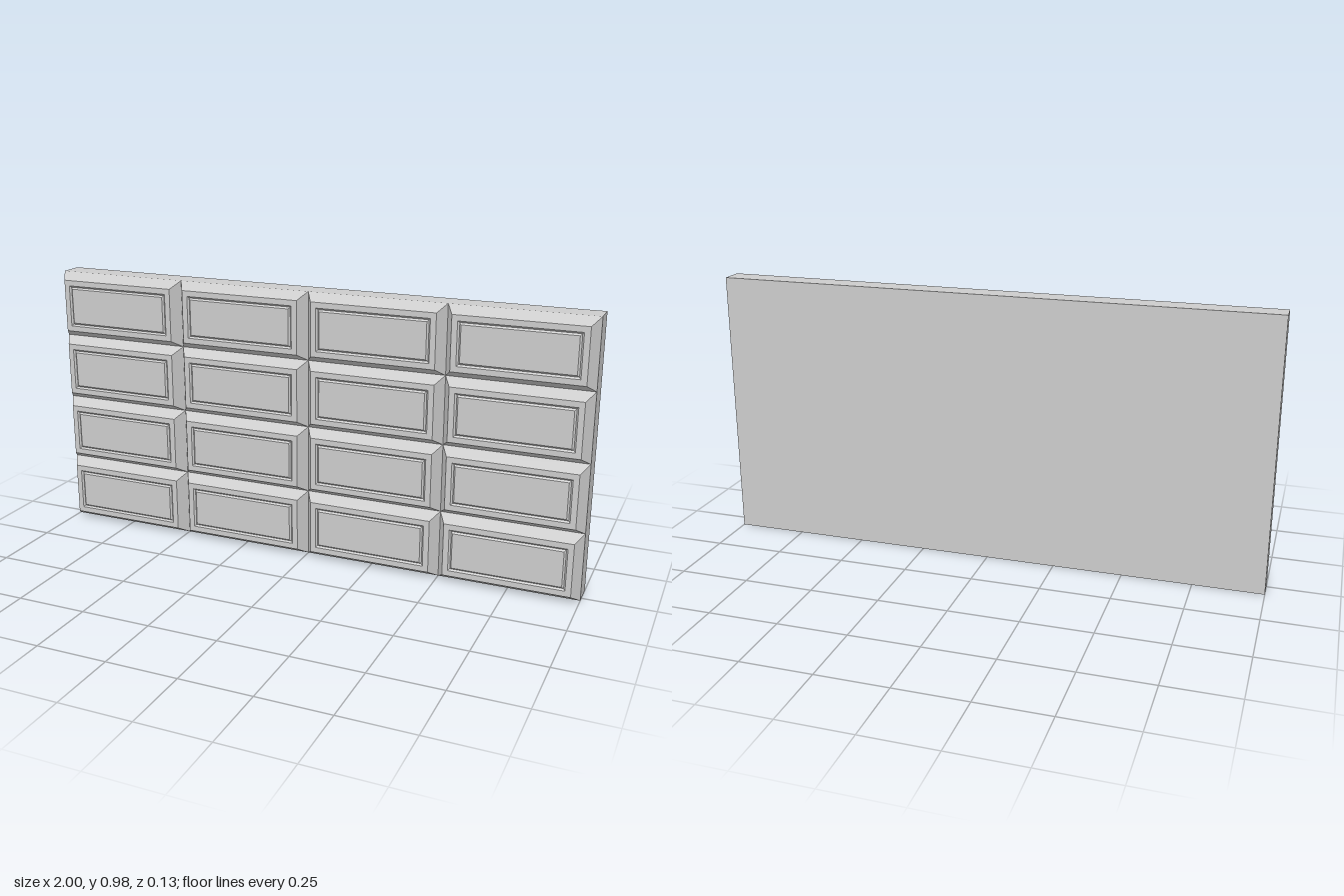
import * as THREE from 'three';

const W = 2, H = 0.98, COLS = 4, ROWS = 4;
const BACK = -0.063, SEAM = 0.02, FACE = 0.063;

// Loft of nested rectangles: each ring is [inset from tile edge, z]; the last ring is capped
function tileGeometry(w, h, rings) {
  const pos = [], index = [];
  for (const [inset, z] of rings) {
    const x = w / 2 - inset, y = h / 2 - inset;
    pos.push(-x, -y, z, x, -y, z, x, y, z, -x, y, z);
  }
  for (let r = 0; r < rings.length - 1; r++) {
    for (let i = 0; i < 4; i++) {
      const a = r * 4 + i, b = r * 4 + (i + 1) % 4;
      index.push(a, b, b + 4, a, b + 4, a + 4);
    }
  }
  const c = (rings.length - 1) * 4;
  index.push(c, c + 1, c + 2, c, c + 2, c + 3);
  const indexed = new THREE.BufferGeometry();
  indexed.setAttribute('position', new THREE.Float32BufferAttribute(pos, 3));
  indexed.setIndex(index);
  const geometry = indexed.toNonIndexed();
  geometry.computeVertexNormals();
  return geometry;
}

export function createModel() {
  const bar = new THREE.Group();
  bar.name = 'segmentedBar';
  const material = new THREE.MeshStandardMaterial({ color: 0xcccccc, flatShading: true });

  // Solid slab behind the tiles
  const slab = new THREE.Mesh(new THREE.BoxGeometry(W, H, SEAM - BACK), material);
  slab.name = 'slab';
  slab.position.set(0, H / 2, (SEAM + BACK) / 2);
  bar.add(slab);

  // Bevelled tiles, each with a shallow engraved frame line
  const w = W / COLS, h = H / ROWS;
  const geometry = tileGeometry(w, h, [
    [0, SEAM], [0.026, FACE], [0.046, FACE], [0.052, FACE - 0.006], [0.058, FACE],
  ]);
  const tiles = new THREE.Group();
  tiles.name = 'tiles';
  for (let row = 0; row < ROWS; row++) {
    for (let col = 0; col < COLS; col++) {
      const tile = new THREE.Mesh(geometry, material);
      tile.name = `tile${row * COLS + col + 1}`;
      tile.position.set((col + 0.5) * w - W / 2, (row + 0.5) * h, 0);
      tiles.add(tile);
    }
  }
  bar.add(tiles);
  return bar;
}
